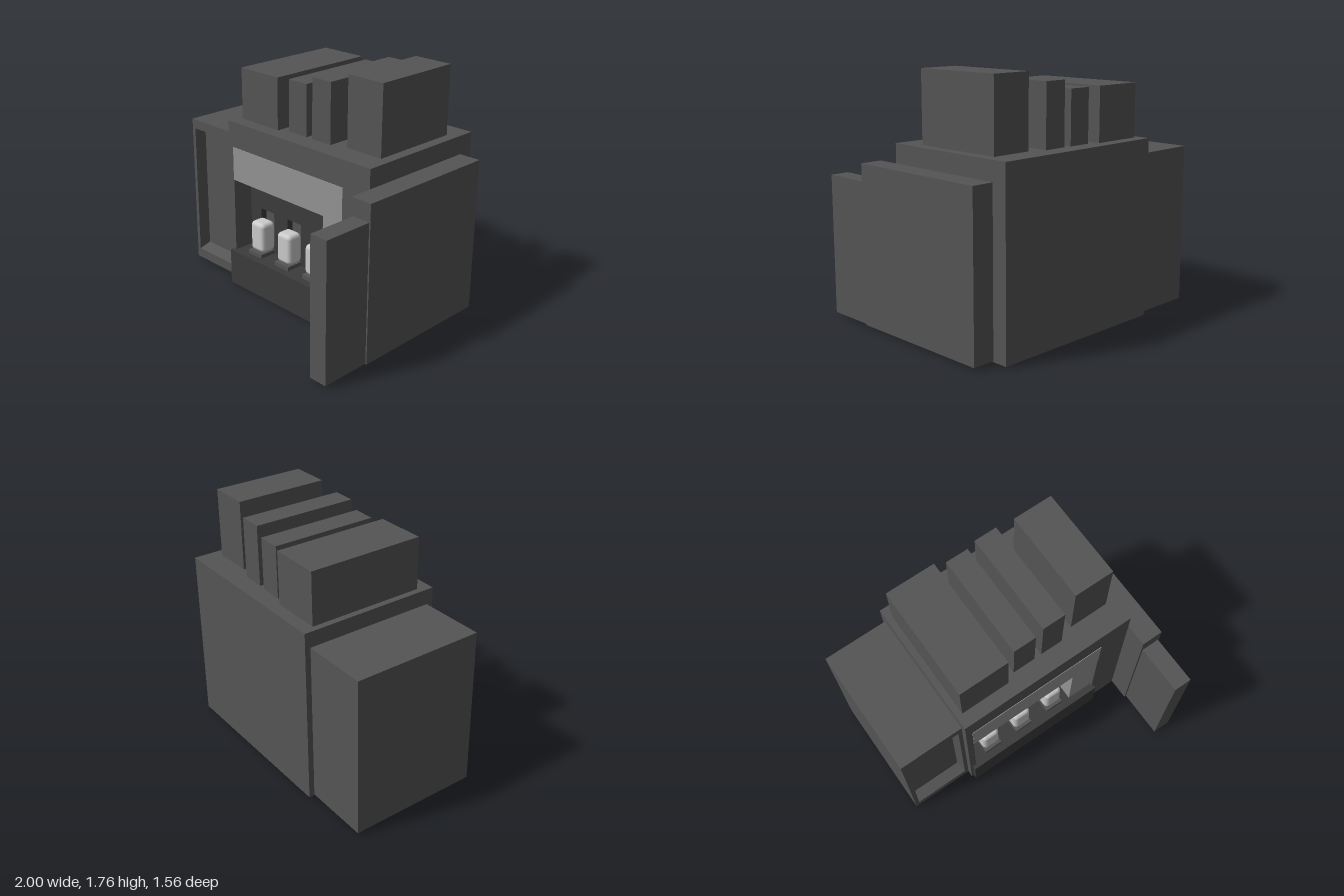
import * as THREE from 'three';
import { RoundedBoxGeometry } from 'three/addons/geometries/RoundedBoxGeometry.js';

const material = (color) => new THREE.MeshStandardMaterial({ color });

// Rectangle as a path, corners given as min/max
function rect(PathType, x0, x1, y0, y1) {
  const p = new PathType();
  p.moveTo(x0, y0);
  p.lineTo(x1, y0);
  p.lineTo(x1, y1);
  p.lineTo(x0, y1);
  p.closePath();
  return p;
}

// Rectangular plate with rectangular holes, between two z values
function plateWithHoles(outer, holes, z0, z1) {
  const shape = rect(THREE.Shape, ...outer);
  holes.forEach((h) => shape.holes.push(rect(THREE.Path, ...h)));
  const g = new THREE.ExtrudeGeometry(shape, { depth: z1 - z0, bevelEnabled: false });
  return g.translate(0, 0, z0);
}

// Flat-faced solid through rectangular rings [x0, x1, y0, y1, z], capped at both ends
function loftRects(rings) {
  const corners = rings.map(([x0, x1, y0, y1, z]) => [
    [x0, y0, z], [x1, y0, z], [x1, y1, z], [x0, y1, z],
  ]);
  const pos = [];
  const quad = (a, b, c, d) => [a, b, c, a, c, d].forEach((p) => pos.push(...p));
  for (let i = 0; i < corners.length - 1; i++) {
    for (let j = 0; j < 4; j++) {
      const k = (j + 1) % 4;
      quad(corners[i][j], corners[i][k], corners[i + 1][k], corners[i + 1][j]);
    }
  }
  const first = corners[0], last = corners[corners.length - 1];
  quad(first[3], first[2], first[1], first[0]);
  quad(...last);
  const g = new THREE.BufferGeometry();
  g.setAttribute('position', new THREE.Float32BufferAttribute(pos, 3));
  g.computeVertexNormals();
  return g;
}

export function createModel() {
  const root = new THREE.Group();
  root.name = 'drinkMachine';
  const body = material(0x555555);
  const dark = material(0x3c3c3c);
  const light = material(0x949494);
  const pale = material(0xcccccc);

  const add = (name, geometry, mat) => {
    const m = new THREE.Mesh(geometry, mat);
    m.name = name;
    root.add(m);
    return m;
  };
  const box = (name, mat, x0, x1, y0, y1, z0, z1) => {
    const m = add(name, new THREE.BoxGeometry(x1 - x0, y1 - y0, z1 - z0), mat);
    m.position.set((x0 + x1) / 2, (y0 + y1) / 2, (z0 + z1) / 2);
    return m;
  };

  // Main housing, its front part opened for the serving alcove
  box('housingBack', body, -0.52, 0.84, 0.012, 1.27, -0.78, 0.04);
  add('housingFront',
    plateWithHoles([-0.52, 0.84, 0.012, 1.27], [[-0.47, 0.61, 0.26, 0.84]], 0.04, 0.248), body);

  // Dark alcove back with a niche behind every cup
  const cupX = [-0.29, -0.01, 0.275];
  add('alcoveBack', plateWithHoles([-0.47, 0.61, 0.26, 0.84],
    cupX.map((x) => [x - 0.07, x + 0.07, 0.3, 0.59]), 0.04, 0.09), dark);

  // Light front panels
  box('upperPanel', light, -0.47, 0.61, 0.83, 1.08, 0.09, 0.252);
  box('sidePanel', light, 0.41, 0.6, 0.265, 0.835, 0.08, 0.225);

  // Tray reaching under the housing
  box('tray', dark, -0.5, 0.625, 0, 0.27, -0.05, 0.277);

  // Cups on low stands
  cupX.forEach((x) => {
    box('cupStand', body, x - 0.07, x + 0.07, 0.265, 0.3, 0.085, 0.22);
    const cup = add('cup', new RoundedBoxGeometry(0.14, 0.23, 0.125, 2, 0.032), pale);
    cup.position.set(x, 0.413, 0.14);
  });

  // Side cabinet with a tapered recess in its front
  add('sideCabinet', loftRects([
    [-1, -0.52, 0.018, 1.16, -0.74],
    [-1, -0.52, 0.018, 1.16, 0.2],
    [-0.97, -0.55, 0.09, 1.09, 0.2],
    [-0.95, -0.565, 0.13, 1.05, 0.12],
  ]), body);

  // Side wall and its forward wing
  box('sideWall', body, 0.84, 1, 0.018, 1.135, -0.67, 0.415);
  box('wallWing', body, 0.855, 0.99, 0.02, 1.01, 0.4, 0.78);

  // Blocks on the roof: x range, top, z range
  [
    [-0.475, -0.105, 1.645, -0.69, 0.15],
    [-0.035, 0.135, 1.64, -0.655, 0.11],
    [0.19, 0.36, 1.7, -0.65, 0.11],
    [0.47, 0.765, 1.765, -0.605, 0.065],
  ].forEach(([x0, x1, top, z0, z1]) => box('roofBlock', body, x0, x1, 1.26, top, z0, z1));

  return root;
}
